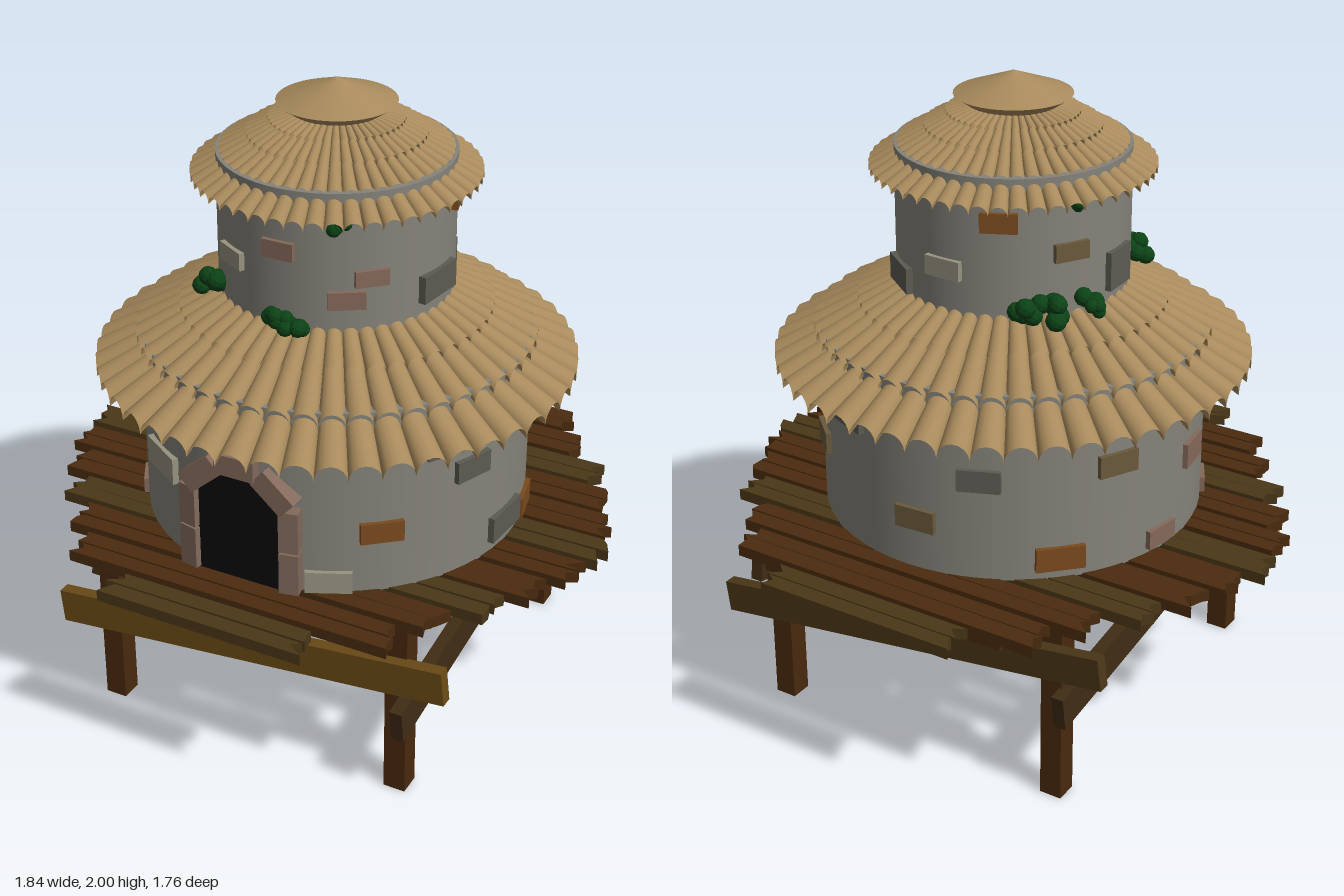
import * as THREE from 'three';

const CX = 0.015, CZ = 0.032; // tower axis
const mat = (color, extra = {}) => new THREE.MeshStandardMaterial({ color, ...extra });
const M = {
  wall: mat(0x85837a), tile: mat(0xa88a5c, { side: THREE.DoubleSide }),
  plank: mat(0x4a2b0e), plankGrey: mat(0x4a3718), post: mat(0x4a2a0e), brace: mat(0x6b4b16),
  braceDark: mat(0x3f2c14), doorStone: mat(0x836a5c), dark: mat(0x0a0a0a), leaf: mat(0x0c4216, { flatShading: true }),
  grey: mat(0x5c5b52), light: mat(0x96937f), orange: mat(0x7a4a1e), pink: mat(0x85695a), tan: mat(0x6a5a3c),
};

let seed = 7;
const rnd = () => { seed = (seed * 16807) % 2147483647; return seed / 2147483647; };

function add(parent, name, geo, material, x = 0, y = 0, z = 0) {
  const m = new THREE.Mesh(geo, material);
  m.name = name;
  m.position.set(x, y, z);
  parent.add(m);
  return m;
}

function group(parent, name) {
  const g = new THREE.Group();
  g.name = name;
  parent.add(g);
  return g;
}

// Ring of tapered half-round tiles running from the eave up to the inner edge
function tileRing(n, ro, yo, ri, yi) {
  const pos = [], idx = [], S = 8;
  for (let i = 0; i < n; i++) {
    const base = pos.length / 3;
    for (let j = 0; j <= S; j++) {
      const a = (Math.PI * j) / S;
      const t = ((2 * i + 1 - Math.cos(a)) * Math.PI) / n;
      for (const [r, y] of [[ro, yo], [ri, yi]])
        pos.push(r * Math.sin(t), y + ((Math.PI * r) / n) * Math.sin(a), r * Math.cos(t));
      if (j < S) {
        const k = base + 2 * j;
        idx.push(k, k + 2, k + 1, k + 1, k + 2, k + 3);
      }
    }
  }
  const g = new THREE.BufferGeometry();
  g.setAttribute('position', new THREE.Float32BufferAttribute(pos, 3));
  g.setIndex(idx);
  g.computeVertexNormals();
  return g;
}

// Board along x with ragged, notched ends
function boardGeo(half, w, t) {
  const e = () => half + (rnd() - 0.5) * 0.04;
  const s = new THREE.Shape([
    [-e(), -w / 2], [e(), -w / 2], [e() - 0.015, (rnd() - 0.5) * w * 0.5], [e(), w / 2],
    [-e(), w / 2], [-e() + 0.015, (rnd() - 0.5) * w * 0.5],
  ].map(([x, y]) => new THREE.Vector2(x, y)));
  return new THREE.ExtrudeGeometry(s, { depth: t, bevelEnabled: false });
}

// Straight beam between two points, standing on edge
function beam(parent, name, a, b, h, t, material) {
  const A = new THREE.Vector3(...a), B = new THREE.Vector3(...b);
  const m = add(parent, name, new THREE.BoxGeometry(t, h, A.distanceTo(B)), material);
  m.position.copy(A).add(B).multiplyScalar(0.5);
  m.lookAt(B);
  return m;
}

// Stone or other part placed on the round wall by angle
function onWall(parent, name, geo, material, angle, y, r) {
  const m = add(parent, name, geo, material, CX + r * Math.sin(angle), y, CZ + r * Math.cos(angle));
  m.rotation.y = angle;
  return m;
}

function bush(parent, angle, y, r, size) {
  const g = group(parent, 'bush');
  g.position.set(CX + r * Math.sin(angle), y, CZ + r * Math.cos(angle));
  for (let i = 0; i < 6; i++) {
    const s = size * (0.45 + 0.2 * rnd());
    add(g, 'leafClump', new THREE.IcosahedronGeometry(s, 1), M.leaf,
      (rnd() - 0.5) * size * 1.2, (rnd() - 0.5) * size * 1.1, (rnd() - 0.5) * size * 0.9);
  }
}

export function createModel() {
  const root = new THREE.Group();
  root.name = 'stiltTower';

  // Platform of paired boards
  const deck = group(root, 'platform');
  const halves = [0.9, 0.865, 0.8, 0.725, 0.61, 0.525, 0.325];
  for (let row = -6; row <= 6; row++) {
    const half = halves[Math.abs(row)];
    for (const side of [-1, 1]) {
      const w = 0.052 + rnd() * 0.008;
      const m = add(deck, 'board', boardGeo(half, w, 0.036), Math.abs(row) % 3 ? M.plank : M.plankGrey,
        0, 0.634, row * 0.1375 + side * 0.03);
      m.rotation.set(Math.PI / 2, 0, (rnd() - 0.5) * 0.008);
    }
  }
  for (const s of [-1, 1])
    add(deck, 'joist', new THREE.BoxGeometry(0.12, 0.04, 1.32), M.plank, 0.01 + s * 0.36, 0.58, -0.06);

  // Posts and sloping braces
  const legs = group(root, 'supports');
  for (const x of [-0.495, 0.5]) for (const z of [-0.54, 0.555])
    add(legs, 'post', new THREE.BoxGeometry(0.07, 0.6, 0.07), M.post, x, 0.3, z);
  beam(legs, 'frontBrace', [-0.655, 0.315, 0.605], [0.665, 0.45, 0.605], 0.11, 0.04, M.brace);
  beam(legs, 'backBrace', [-0.675, 0.51, -0.595], [0.68, 0.33, -0.595], 0.1, 0.04, M.plankGrey);
  beam(legs, 'leftBrace', [0.54, 0.3, 0.665], [0.54, 0.5, -0.63], 0.11, 0.04, M.braceDark);
  beam(legs, 'rightBrace', [-0.54, 0.5, 0.58], [-0.54, 0.33, -0.61], 0.11, 0.04, M.braceDark);

  // Round walls
  const walls = group(root, 'walls');
  add(walls, 'lowerWall', new THREE.CylinderGeometry(0.595, 0.595, 0.6, 64), M.wall, CX, 0.93, CZ);
  add(walls, 'upperWall', new THREE.CylinderGeometry(0.355, 0.355, 0.55, 64), M.wall, CX, 1.515, CZ);

  // Tiled roofs: eave radius, eave height, inner radius, inner height
  const roofs = {
    lowerRoof: [[0.735, 1.095, 0.57, 1.19], [0.61, 1.195, 0.44, 1.295], [0.475, 1.285, 0.34, 1.36]],
    upperRoof: [[0.43, 1.705, 0.3, 1.785], [0.345, 1.775, 0.22, 1.845], [0.265, 1.83, 0.16, 1.885], [0.2, 1.875, 0.1, 1.91]],
  };
  for (const [name, tiers] of Object.entries(roofs)) {
    const g = group(root, name);
    for (const t of tiers) add(g, 'tileTier', tileRing(48, ...t), M.tile, CX, 0, CZ);
  }
  add(root, 'roofCap', new THREE.CylinderGeometry(0.178, 0.135, 0.03, 40), M.tile, CX, 1.918, CZ);
  add(root, 'roofPeak', new THREE.ConeGeometry(0.178, 0.067, 40), M.tile, CX, 1.9665, CZ);

  // Doorway with a stone arch
  const door = group(root, 'doorway');
  door.position.set(CX - 0.007, 0, 0);
  const arch = new THREE.Shape([[-0.14, 0.635], [0.14, 0.635], [0.14, 0.92], [0.06, 1.01], [-0.06, 1.01], [-0.14, 0.92]]
    .map(([x, y]) => new THREE.Vector2(x, y)));
  add(door, 'opening', new THREE.ExtrudeGeometry(arch, { depth: 0.08, bevelEnabled: false }), M.dark, 0, 0, 0.552);
  for (const s of [-1, 1]) {
    for (const y of [0.707, 0.849])
      add(door, 'jambStone', new THREE.BoxGeometry(0.06, 0.136, 0.09), M.doorStone, s * 0.16, y, 0.602).rotation.y = s * 0.2;
    const c = add(door, 'archStone', new THREE.BoxGeometry(0.13, 0.068, 0.09), M.doorStone, s * 0.12, 0.97, 0.608);
    c.rotation.z = -s * 0.72;
  }
  add(door, 'keystone', new THREE.BoxGeometry(0.13, 0.066, 0.09), M.doorStone, 0, 1.028, 0.615);

  // Proud stones: angle, height, width, height, material
  const stones = group(root, 'wallStones');
  const lower = [
    [-0.57, 0.905, 0.17, 0.085, M.light], [0.7, 0.835, 0.13, 0.066, M.orange], [0.44, 0.67, 0.14, 0.07, M.light],
    [-1.06, 0.67, 0.1, 0.05, M.pink], [1.03, 1.08, 0.13, 0.065, M.grey], [1.2, 0.975, 0.13, 0.07, M.grey],
    [1.49, 0.71, 0.17, 0.085, M.grey], [1.785, 0.68, 0.13, 0.07, M.orange], [1.91, 0.96, 0.13, 0.07, M.grey],
    [2.39, 0.885, 0.13, 0.07, M.tan], [2.75, 1.05, 0.14, 0.07, M.grey], [3.2, 0.8, 0.13, 0.07, M.tan],
    [-2.75, 0.96, 0.13, 0.07, M.grey], [-2.35, 0.7, 0.15, 0.075, M.orange], [-2.05, 0.98, 0.13, 0.07, M.tan],
    [-1.75, 0.68, 0.12, 0.06, M.pink], [-1.45, 0.89, 0.12, 0.08, M.pink],
  ];
  const upper = [
    [0, 1.605, 0.1, 0.055, M.pink], [-0.52, 1.528, 0.11, 0.055, M.light], [0.76, 1.53, 0.1, 0.05, M.pink],
    [0.56, 1.465, 0.11, 0.055, M.pink], [1.44, 1.453, 0.165, 0.085, M.grey], [1.86, 1.675, 0.13, 0.065, M.orange],
    [2.5, 1.415, 0.15, 0.08, M.grey], [3.1, 1.5, 0.12, 0.06, M.light], [-2.7, 1.66, 0.11, 0.06, M.orange],
    [-1.55, 1.46, 0.12, 0.12, M.grey], [-2.1, 1.56, 0.11, 0.055, M.tan],
  ];
  for (const [list, r] of [[lower, 0.588], [upper, 0.348]])
    for (const [a, y, w, h, m] of list) onWall(stones, 'stone', new THREE.BoxGeometry(w, h, 0.04), m, a, y, r);

  // Greenery under the eaves and at the foot of the upper wall: angle, height, radius, size
  const plants = group(root, 'greenery');
  for (const p of [
    [-0.82, 1.4, 0.38, 0.055], [-0.02, 1.39, 0.38, 0.042], [0.15, 1.39, 0.38, 0.042], [-2.5, 1.395, 0.38, 0.05],
    [-2.3, 1.395, 0.38, 0.05], [-1.95, 1.39, 0.38, 0.045], [0.5, 1.705, 0.37, 0.035], [-2.1, 1.705, 0.37, 0.03],
    [-0.48, 1.105, 0.6, 0.045], [0, 1.11, 0.6, 0.03], [-1.5, 1.105, 0.63, 0.045],
  ]) bush(plants, ...p);

  return root;
}
